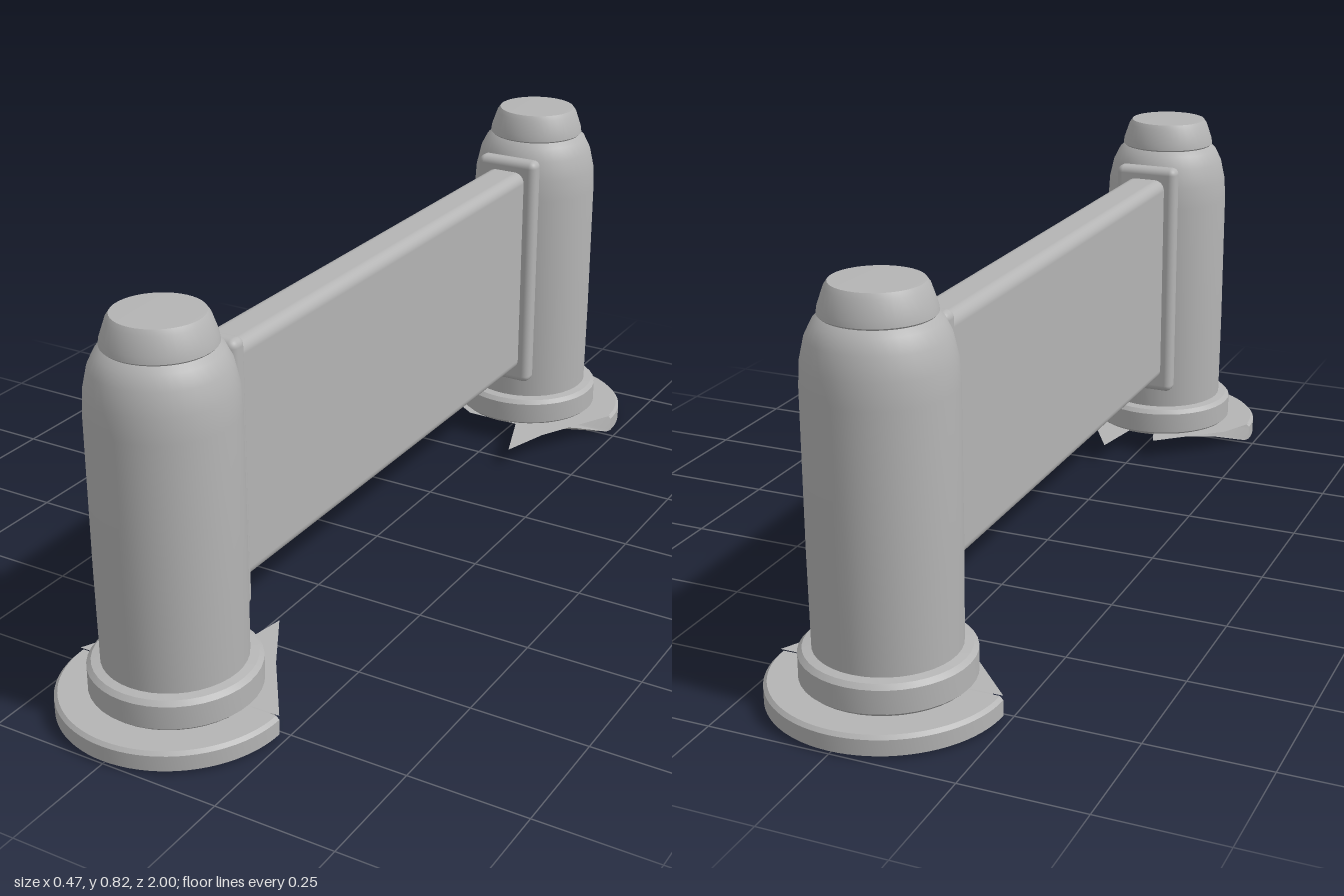
import * as THREE from 'three';
import { toCreasedNormals } from 'three/addons/utils/BufferGeometryUtils.js';
import { RoundedBoxGeometry } from 'three/addons/geometries/RoundedBoxGeometry.js';

const POST_Z = 0.765;

export function createModel() {
  const model = new THREE.Group();
  model.name = 'guardRail';

  const steel = new THREE.MeshStandardMaterial({ color: 0xb4b4b4 });
  steel.name = 'grey steel';
  steel.side = THREE.DoubleSide;

  const add = (parent, name, geometry, x = 0, y = 0, z = 0) => {
    const mesh = new THREE.Mesh(geometry, steel);
    mesh.name = name;
    mesh.position.set(x, y, z);
    parent.add(mesh);
    return mesh;
  };

  // Turned part from [radius, height] pairs; the arc can be limited to a half turn
  const turned = (points, start = 0, length = Math.PI * 2) => toCreasedNormals(
    new THREE.LatheGeometry(points.map(([r, y]) => new THREE.Vector2(r, y)), 40, start, length), 0.6);

  // Flat-faced sheet made as a fan around its first corner
  const sheet = (corners) => {
    const pos = [];
    for (let i = 1; i < corners.length - 1; i++) pos.push(...corners[0], ...corners[i], ...corners[i + 1]);
    const g = new THREE.BufferGeometry();
    g.setAttribute('position', new THREE.Float32BufferAttribute(pos, 3));
    g.computeVertexNormals();
    return g;
  };

  const shaft = turned([
    [0.143, 0.1], [0.145, 0.3], [0.145, 0.62], [0.142, 0.67], [0.132, 0.715],
    [0.118, 0.743], [0.104, 0.755],
  ]);
  const cap = turned([
    [0.104, 0.752], [0.109, 0.757], [0.107, 0.77], [0.095, 0.805], [0.088, 0.815], [0, 0.817],
  ]);
  const collar = turned([
    [0.16, 0.043], [0.17, 0.052], [0.17, 0.1], [0.161, 0.109], [0.143, 0.112],
  ]);
  const foot = turned([
    [0, 0], [0.225, 0], [0.235, 0.006], [0.235, 0.038], [0.228, 0.045], [0, 0.045],
  ], -Math.PI / 2, Math.PI);

  // Torn inner edge of each foot: [x, distance toward the middle from the post axis]
  const tornEdges = {
    front: [[-0.235, 0], [-0.195, 0.08], [-0.1, 0.165], [-0.05, 0.21], [-0.03, 0.15],
      [0.03, 0.15], [0.05, 0.285], [0.13, 0.15], [0.235, 0]],
    back: [[-0.235, 0], [-0.1, 0.145], [0.05, 0.165], [0.1, 0.305], [0.135, 0.19], [0.235, 0]],
  };

  for (const [name, side] of [['front', 1], ['back', -1]]) {
    const post = new THREE.Group();
    post.name = name + 'Post';
    post.position.z = side * POST_Z;
    model.add(post);

    add(post, 'shaft', shaft);
    add(post, 'cap', cap);
    add(post, 'collar', collar);
    add(post, 'foot', foot).rotation.y = side > 0 ? 0 : Math.PI;

    // Torn plate and the slope rising to it from below
    const edge = tornEdges[name].map(([x, d]) => [x, 0.047, -side * d]);
    add(post, 'tornPlate', sheet([[0, 0.047, 0], ...edge]));
    add(post, 'footSlope', sheet([
      [0.225, 0, 0], [-0.225, 0, 0], [-0.17, 0.03, -side * 0.08],
      [-0.08, 0.045, -side * 0.16], [0.08, 0.045, -side * 0.16], [0.17, 0.03, -side * 0.08],
    ]));

    // Stepped bracket holding the rail end
    add(post, 'bracketFlange', new RoundedBoxGeometry(0.15, 0.565, 0.042, 4, 0.016), 0, 0.4425, -side * 0.141);
    add(post, 'bracketBody', new RoundedBoxGeometry(0.13, 0.54, 0.08, 3, 0.02), 0, 0.4425, -side * 0.105);
  }

  // Flat rail between the posts
  add(model, 'rail', new RoundedBoxGeometry(0.098, 0.505, 1.25, 4, 0.025), 0, 0.445, 0);

  return model;
}
